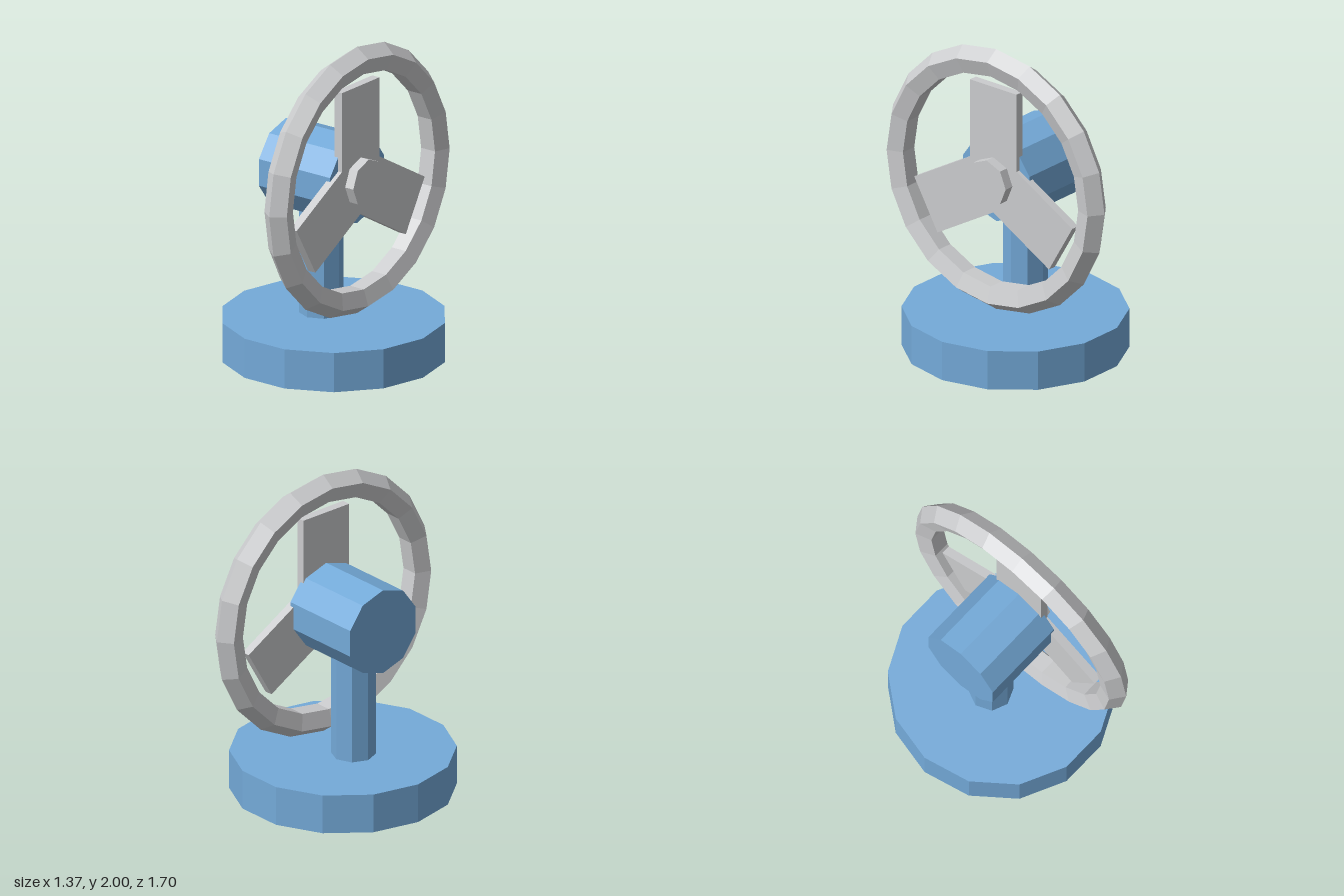
import * as THREE from 'three';

const AXIS_Y = 1.15; // height of the fan axis
const FAN_X = 0.18; // plane of the ring and blades

export function createModel() {
  const model = new THREE.Group();
  model.name = 'deskFan';

  const blue = new THREE.MeshStandardMaterial({ color: 0x74aad9 });
  blue.name = 'blue';
  const grey = new THREE.MeshStandardMaterial({ color: 0xcbccce });
  grey.name = 'light grey';

  const add = (name, geometry, material, parent = model) => {
    // unshared corners give every facet its own flat normal
    const flat = geometry.index ? geometry.toNonIndexed() : geometry;
    flat.computeVertexNormals();
    const mesh = new THREE.Mesh(flat, material);
    mesh.name = name;
    parent.add(mesh);
    return mesh;
  };

  // upright prism with a corner on the x axis
  const prism = (radius, height, sides) =>
    new THREE.CylinderGeometry(radius, radius, height, sides).rotateY(Math.PI / 2);

  // prism lying along x with a corner at the top
  const axle = (radius, length, sides) => prism(radius, length, sides).rotateZ(Math.PI / 2);

  // stand
  add('base', prism(0.685, 0.25, 14), blue).position.y = 0.125;
  add('post', prism(0.135, 0.85, 8), blue).position.set(-0.095, 0.625, 0);

  // motor housing, centred over the post
  add('motor', axle(0.275, 0.545, 10), blue).position.set(-0.0925, AXIS_Y, 0);

  // guard ring with a five-sided section
  const ring = new THREE.TorusGeometry(0.76, 0.09, 5, 20).rotateY(Math.PI / 2);
  add('guardRing', ring, grey).position.set(FAN_X, AXIS_Y, 0);

  // three flat blades around a hub
  const rotor = new THREE.Group();
  rotor.name = 'rotor';
  rotor.position.set(FAN_X, AXIS_Y, 0);
  model.add(rotor);
  for (let i = 0; i < 3; i++) {
    const blade = new THREE.BoxGeometry(0.055, 0.61, 0.365).translate(0, 0.305, 0);
    add('blade' + (i + 1), blade, grey, rotor).rotation.x = (i * Math.PI * 2) / 3;
  }
  add('hub', axle(0.15, 0.18, 8), grey, rotor);

  return model;
}
